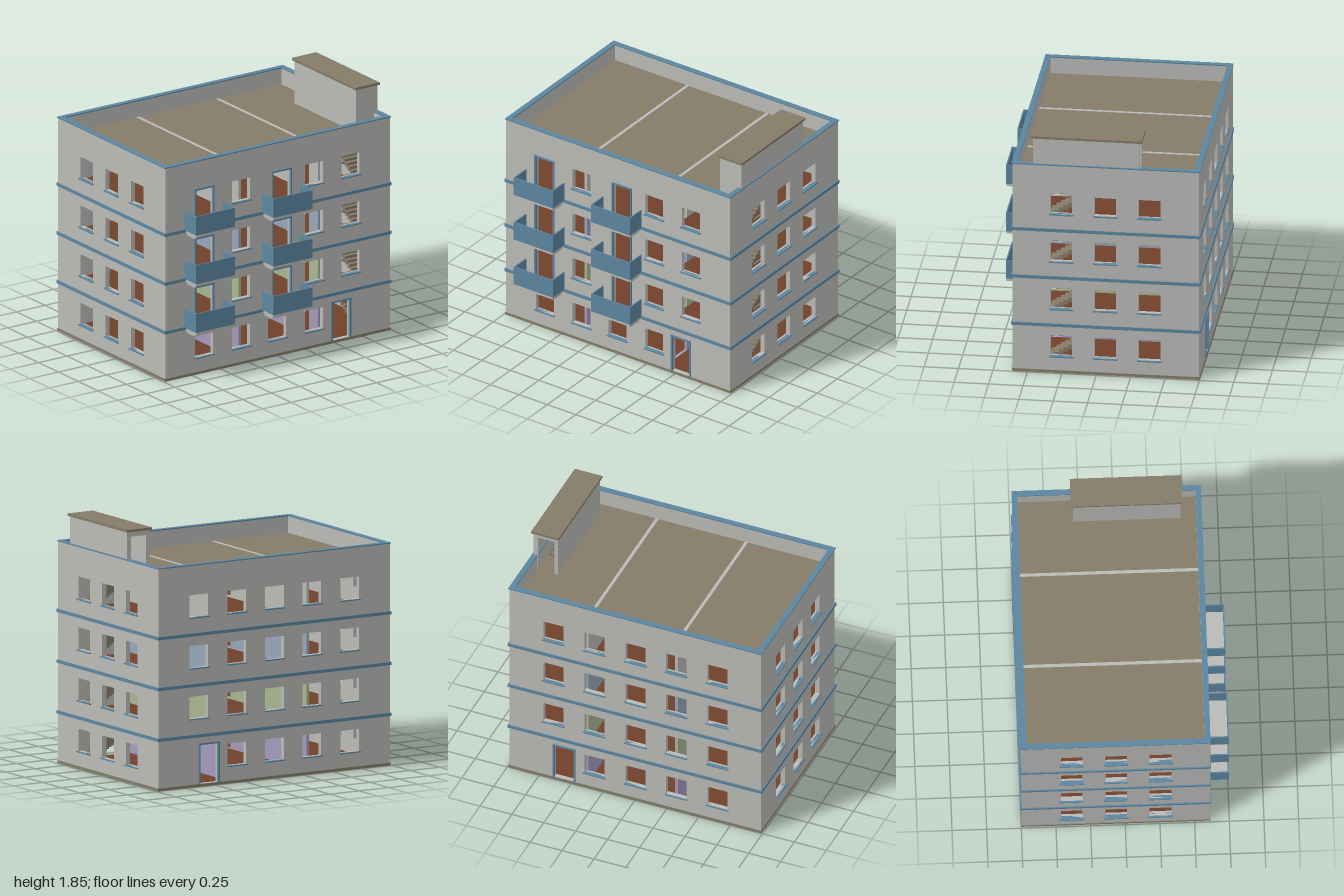
import * as THREE from 'three';

const paint = (name, color) => Object.assign(new THREE.MeshStandardMaterial({ color }), { name });

export function createModel() {
  const wallGrey = paint('wall grey', 0xbabab7);
  const trimBlue = paint('trim blue', 0x5c86a0);
  const roofKhaki = paint('roof khaki', 0x857c68);
  const floorRust = paint('floor rust', 0x6f4029);
  const lilac = paint('lilac', 0xa599bd);
  const sage = paint('sage', 0xa9b591);
  const slate = paint('slate blue', 0x96a6b8);
  const storeyPaint = [lilac, sage, slate, wallGrey];

  const model = new THREE.Group();
  model.name = 'apartmentBlock';

  // Box given by its limits on each axis
  const box = (name, mat, [x0, x1], [y0, y1], [z0, z1]) => {
    const m = new THREE.Mesh(new THREE.BoxGeometry(x1 - x0, y1 - y0, z1 - z0), mat);
    m.position.set((x0 + x1) / 2, (y0 + y1) / 2, (z0 + z1) / 2);
    m.name = name;
    model.add(m);
    return m;
  };
  // Flat plate with rectangular holes; each rectangle is [u0, u1, v0, v1]
  const plate = (name, mat, rect, holes, depth) => {
    const corners = ([u0, u1, v0, v1]) =>
      [[u0, v0], [u1, v0], [u1, v1], [u0, v1]].map(p => new THREE.Vector2(...p));
    const shape = new THREE.Shape(corners(rect));
    for (const h of holes) shape.holes.push(new THREE.Path(corners(h).reverse()));
    const m = new THREE.Mesh(new THREE.ExtrudeGeometry(shape, { depth, bevelEnabled: false }), mat);
    m.name = name;
    model.add(m);
    return m;
  };
  const floorPlate = (name, mat, rect, holes, y, depth) => {
    const m = plate(name, mat, rect, holes, depth);
    m.rotation.x = -Math.PI / 2;
    m.position.y = y;
  };
  const sidePlate = (name, mat, rect, holes, x, depth) => {
    const m = plate(name, mat, rect, holes, depth);
    m.rotation.y = Math.PI / 2;
    m.position.x = x;
  };

  const W = 0.986, ZF = 0.61, ZB = -0.745, T = 0.035, H = 1.625;
  const P = 0.372, LO = 0.13, HI = 0.293, HW = 0.079;
  const bays = [-0.645, -0.322, -0.004, 0.318, 0.64];
  const sideBays = [0.255, -0.065, -0.385];
  const balconies = [-0.645, 0.034];
  const doorX = 0.555;

  // Openings and their sills and frames
  const frontHoles = [], backHoles = [], sideHoles = [];
  const sill = (x, y, front) =>
    box('sill', trimBlue, [x - 0.088, x + 0.088], [y - 0.008, y], front ? [ZF - 0.02, ZF + 0.012] : [ZB - 0.01, ZB + 0.02]);
  const frame = (x, y0, y1, z) => {
    for (const s of [-1, 1]) {
      const e = x + s * (HW + 0.002);
      box('doorFrame', trimBlue, [e - 0.006, e + 0.006], [y0, y1 + 0.008], [z - 0.009, z + 0.009]);
    }
    box('doorFrame', trimBlue, [x - HW, x + HW], [y1 - 0.004, y1 + 0.008], [z - 0.009, z + 0.009]);
  };
  for (let k = 0; k < 4; k++) {
    const lo = LO + k * P, hi = HI + k * P;
    const open = (list, x, y0 = lo, y1 = hi) => list.push([x - HW, x + HW, y0, y1]);
    bays.forEach((x, i) => {
      const byDoor = k === 0 && i === 4;
      if (!byDoor) { open(backHoles, x); sill(x, lo, false); }
      if (!byDoor && !(k > 0 && (i === 0 || i === 2))) { open(frontHoles, x); sill(x, lo, true); }
    });
    if (k > 0) for (const x of balconies) {
      open(frontHoles, x, k * P + 0.018);
      frame(x, k * P + 0.018, hi, ZF);
    }
    for (const z of sideBays) {
      open(sideHoles, -z);
      for (const s of [-1, 1])
        box('sill', trimBlue, s < 0 ? [-1, -W + 0.02] : [W - 0.02, 1], [lo - 0.008, lo], [z - 0.088, z + 0.088]);
    }
  }
  for (const [list, z] of [[frontHoles, ZF], [backHoles, ZB]]) {
    list.push([doorX - HW, doorX + HW, 0.021, 0.31]);
    frame(doorX, 0.021, 0.31, z);
  }

  // Outer walls
  plate('frontWall', wallGrey, [-W, W, 0.01, H], frontHoles, T).position.z = ZF - T;
  plate('backWall', wallGrey, [-W, W, 0.01, H], backHoles, T).position.z = ZB;
  for (const x of [-W, W - T])
    sidePlate('sideWall', wallGrey, [-ZF + T, -ZB - T, 0.01, H], sideHoles, x, T);

  // Base, storey bands and parapet cap
  box('base', roofKhaki, [-W - 0.004, W + 0.004], [0, 0.02], [ZB - 0.004, ZF + 0.004]);
  const ring = (name, y, h, out, inner) => floorPlate(name, trimBlue,
    [-W - out, W + out, -ZF - out, -ZB + out], [[-W + inner, W - inner, -ZF + inner, -ZB - inner]], y, h);
  for (let k = 1; k < 4; k++) ring('storeyBand', k * P - 0.009, 0.023, 0.009, 0.01);
  ring('parapetCap', H, 0.008, 0.006, T);

  // Floors, with stairwell openings
  const X = W - T, inside = [-X, X, -ZF + T, -ZB - T];
  const well = [[0.795, 0.94, -0.3, 0.13]];
  floorPlate('groundFloor', floorRust, inside, [], 0.02, 0.004);
  for (let k = 1; k < 4; k++) {
    floorPlate('ceiling', wallGrey, inside, well, k * P - 0.008, 0.018);
    floorPlate('floor', floorRust, inside, well, k * P + 0.01, 0.006);
  }
  floorPlate('topCeiling', wallGrey, inside, well, 4 * P - 0.008, 0.016);
  floorPlate('roofDeck', roofKhaki, inside, well, 4 * P + 0.008, 0.008);

  for (let k = 0; k < 4; k++) {
    const y0 = k * P + 0.016, y1 = (k + 1) * P - 0.008;
    // Partitions with a doorway near the front
    for (const x of [-0.31, 0.39])
      sidePlate('partition', storeyPaint[k], [-ZF + T, -ZB - T, y0, y1],
        [[-0.46, -0.32, y0 + 0.009, y0 + 0.28]], x - 0.011, 0.022);
    // Painted panel on the inner back wall
    if (k > 0) box('innerPanel', k === 1 ? roofKhaki : sage, [0.078, 0.235], [y0, y1], [ZB + T, ZB + T + 0.008]);
    // Flight of open steps
    const n = 18, run = 0.032, rise = P / n;
    for (let i = 0; i < n; i++) {
      const z = 0.47 - i * run, y = k * P + 0.016 + (i + 1) * rise;
      box('stairStep', roofKhaki, [0.8, 0.935], [y - (i ? 0.036 : rise), y], [z - run, z]);
    }
  }
  for (const x of [-0.31, 0.39])
    box('roofStrip', wallGrey, [x - 0.012, x + 0.012], [1.5, 1.507], [ZB + T, ZF - T]);

  // Balconies
  for (let k = 1; k < 4; k++) for (const x of balconies) {
    const y = k * P, a = x - 0.172, b = x + 0.172;
    box('balconySlab', wallGrey, [a + 0.006, b - 0.006], [y - 0.014, y + 0.012], [ZF, 0.75]);
    box('balconyFront', trimBlue, [a, b], [y + 0.006, y + 0.15], [0.746, 0.755]);
    for (const e of [a, b - 0.009])
      box('balconySide', trimBlue, [e, e + 0.009], [y + 0.006, y + 0.15], [ZF, 0.746]);
    for (const s of [-1, 1]) {
      const c = x + s * 0.142;
      box('balconyBracket', wallGrey, [c - 0.007, c + 0.007], [y - 0.04, y - 0.014], [ZF, 0.71]);
    }
  }

  // Stair house on the roof, open to the deck at the back
  const Y0 = 1.5, Y1 = 1.832, t = 0.015;
  for (const x of [0.79, 0.98 - t])
    box('stairHouseSide', wallGrey, [x, x + t], [Y0, Y1], [-0.312, 0.46]);
  box('stairHouseFront', wallGrey, [0.805, 0.965], [Y0, Y1], [0.46 - t, 0.46]);
  plate('stairHouseBack', wallGrey, [0.805, 0.965, Y0, Y1], [[0.818, 0.945, Y0 + 0.003, 1.795]], t).position.z = -0.312;
  box('stairHouseRoof', roofKhaki, [0.777, 0.992], [Y1, 1.85], [-0.33, 0.473]);

  return model;
}
